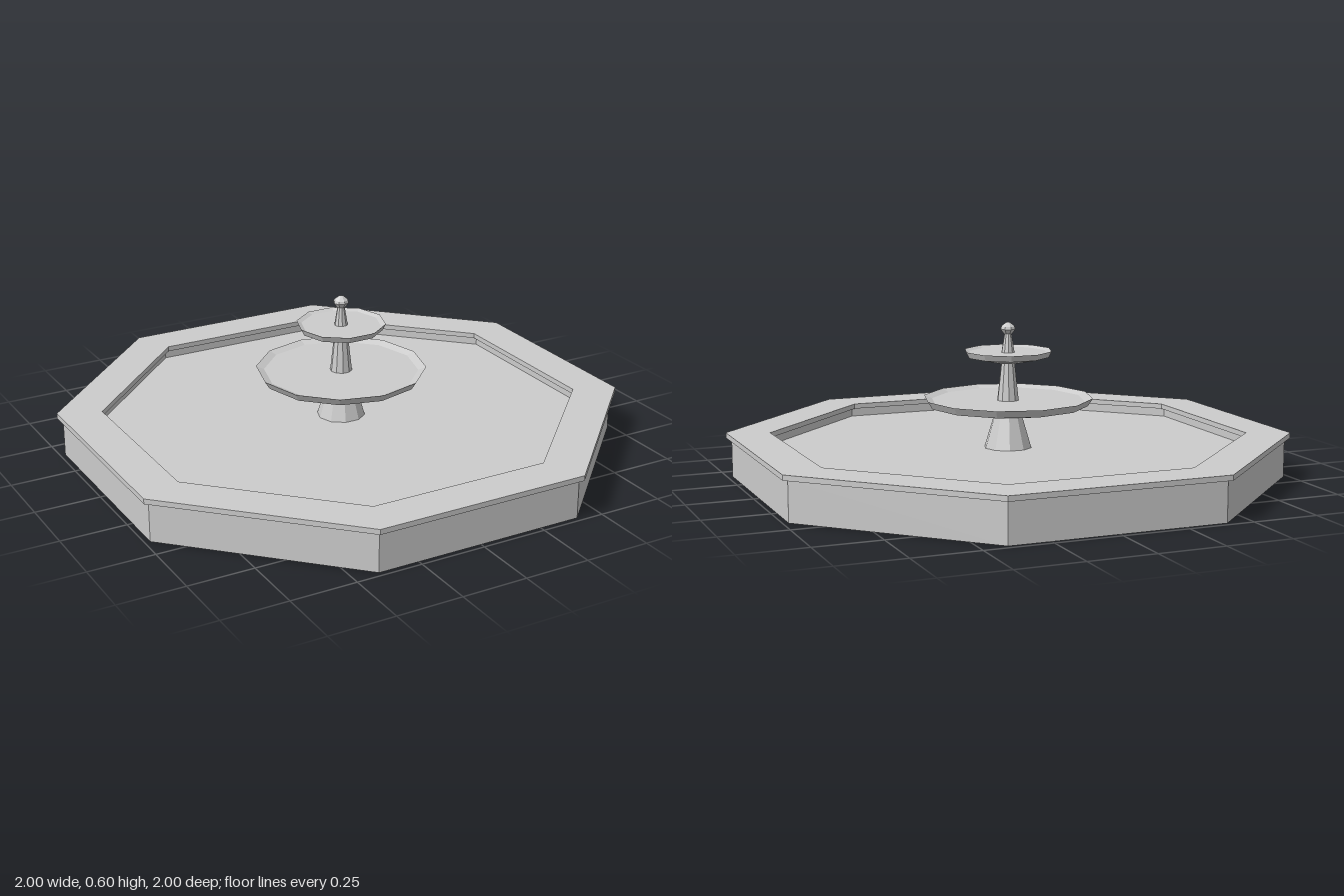
import * as THREE from 'three';

const stone = new THREE.MeshStandardMaterial({ color: 0xcccccc, flatShading: true });
stone.name = 'stone';

// Turned part: profile of [radius, height], running up the outside
function turned(name, profile, sides, start = Math.PI / 2) {
  const points = profile.map(([r, y]) => new THREE.Vector2(r, y));
  const mesh = new THREE.Mesh(new THREE.LatheGeometry(points, sides, start), stone);
  mesh.name = name;
  return mesh;
}

// Octagonal part whose radii are measured to the flat sides
function octagon(name, profile) {
  const k = 1 / Math.cos(Math.PI / 8);
  return turned(name, profile.map(([r, y]) => [r * k, y]), 8, Math.PI / 8);
}

// Octagonal ring with a rectangular section
function ring(name, outer, inner, y0, y1) {
  return octagon(name, [[outer, y0], [outer, y1], [inner, y1], [inner, y0], [outer, y0]]);
}

export function createModel() {
  const fountain = new THREE.Group();
  fountain.name = 'fountain';

  // Pool
  fountain.add(
    ring('poolWall', 0.98, 0.86, 0, 0.152),
    ring('poolRim', 1, 0.843, 0.152, 0.172),
    octagon('poolFloor', [[0, 0.027], [0.86, 0.027], [0.86, 0.118], [0, 0.118]])
  );

  // Columns, each narrowing upwards
  fountain.add(
    turned('lowerColumn', [[0.092, 0.118], [0.052, 0.25]], 10),
    turned('middleColumn', [[0.043, 0.29], [0.025, 0.455]], 10),
    turned('upperColumn', [[0.027, 0.475], [0.013, 0.56]], 10)
  );

  // Shallow bowls with a sloping lip
  fountain.add(
    turned('largeBowl', [
      [0, 0.245], [0.1, 0.245], [0.307, 0.283], [0.325, 0.312], [0.295, 0.3], [0, 0.3]
    ], 12),
    turned('smallBowl', [
      [0, 0.445], [0.05, 0.445], [0.158, 0.468], [0.17, 0.492], [0.152, 0.484], [0, 0.484]
    ], 10)
  );

  // Faceted knob on top
  fountain.add(turned('finial', [
    [0, 0.552], [0.017, 0.555], [0.03, 0.573], [0.027, 0.583], [0.01, 0.597], [0, 0.6]
  ], 8));

  return fountain;
}
